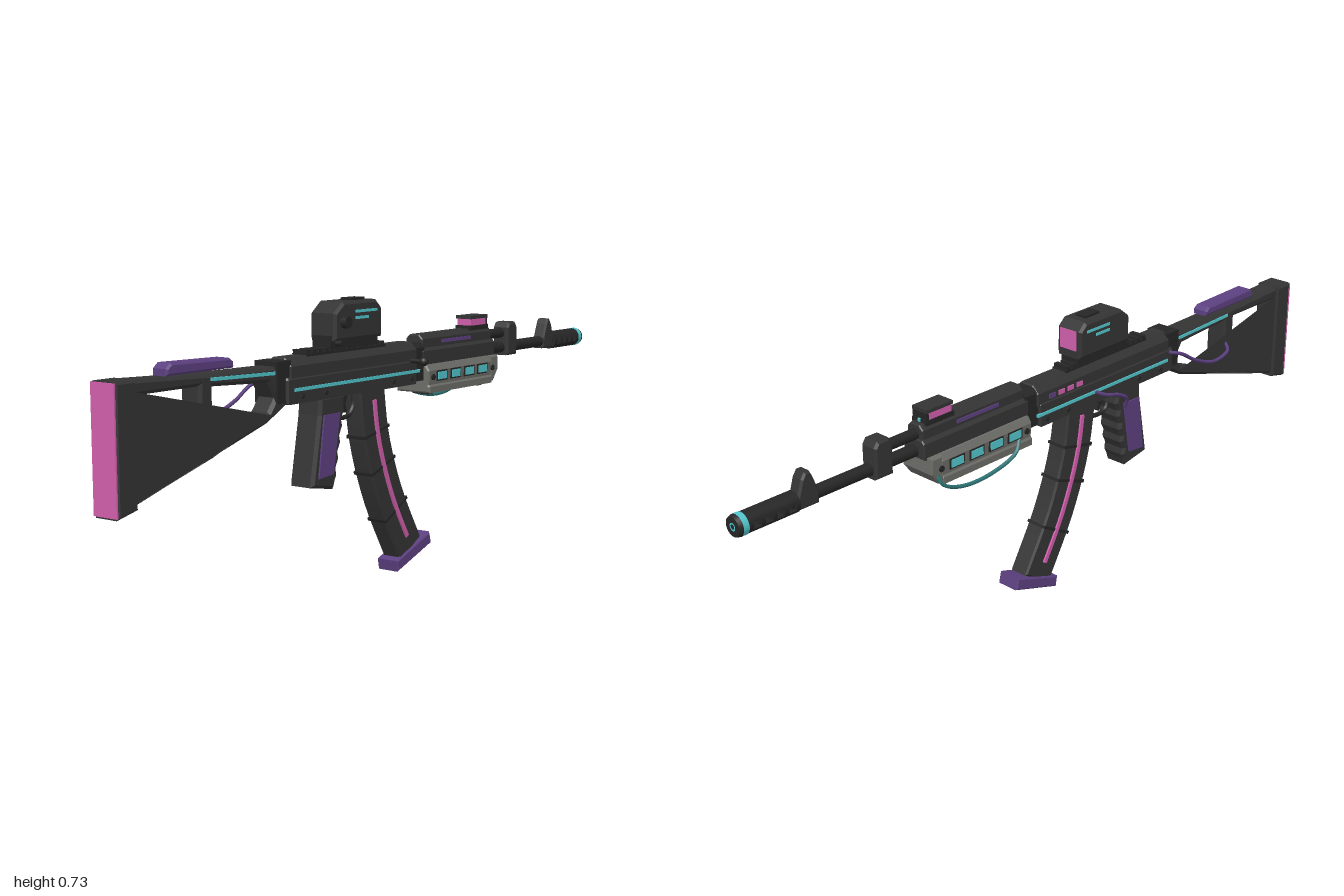
import * as THREE from 'three';

const mat = (name, color) => Object.assign(new THREE.MeshStandardMaterial({ color }), { name });
const body = mat('charcoal body', 0x343434);
const black = mat('black fittings', 0x262626);
const grey = mat('grey shroud', 0x6c6c68);
const purple = mat('purple', 0x5c4080);
const pink = mat('pink', 0xd25fac);
const cyan = mat('cyan', 0x52c6cc);
const teal = mat('teal cable', 0x2f7778);

export function createModel() {
  const root = new THREE.Group();
  root.name = 'rifle';
  const gun = new THREE.Group();
  gun.name = 'rifleParts';
  gun.position.z = -0.015;
  root.add(gun);

  const add = (name, m, geo, x = 0, y = 0, z = 0) => {
    const mesh = new THREE.Mesh(geo, m);
    mesh.name = name;
    mesh.position.set(x, y, z);
    gun.add(mesh);
    return mesh;
  };
  const shapeOf = (pts) => new THREE.Shape(pts.map((p) => new THREE.Vector2(p[0], p[1])));
  const extrude = (shape, depth, b) => new THREE.ExtrudeGeometry(shape, {
    depth: depth - 2 * b, bevelEnabled: b > 0, bevelSize: b, bevelThickness: b, bevelOffset: -b, bevelSegments: 1, curveSegments: 10,
  }).translate(0, 0, b);
  // side outline extruded across the width, centred on z
  const side = (name, m, pts, width, b = 0, z = 0, holes = []) => {
    const s = shapeOf(pts);
    holes.forEach((h) => s.holes.push(new THREE.Path(h.map((p) => new THREE.Vector2(p[0], p[1])))));
    return add(name, m, extrude(s, width, b), 0, 0, z - width / 2);
  };
  // end outline (z, y) extruded along x
  const along = (name, m, pts, x0, x1, b = 0) =>
    add(name, m, extrude(shapeOf(pts), x1 - x0, b).rotateY(Math.PI / 2), x0);
  // symmetric chamfered end outline
  const prism = (hw, y0, y1, c) => [[-hw, y0], [hw, y0], [hw, y1 - c], [hw - c, y1], [c - hw, y1], [-hw, y1 - c]];
  const box = (name, m, x0, x1, y0, y1, w, z = 0) =>
    add(name, m, new THREE.BoxGeometry(x1 - x0, y1 - y0, w), (x0 + x1) / 2, (y0 + y1) / 2, z);
  const rod = (name, m, x0, x1, y, r, r2 = r) =>
    add(name, m, new THREE.CylinderGeometry(r2, r, x1 - x0, 20).rotateZ(-Math.PI / 2), (x0 + x1) / 2, y);
  const pin = (name, m, x, y, z, r, len) =>
    add(name, m, new THREE.CylinderGeometry(r, r, len, 14).rotateX(Math.PI / 2), x, y, z);
  const bothSides = (fn) => [1, -1].forEach(fn);
  const cable = (name, m, pts, r) => add(name, m, new THREE.TubeGeometry(
    new THREE.CatmullRomCurve3(pts.map((p) => new THREE.Vector3(...p))), 32, r, 6));

  // skeleton stock
  side('stockFrame', body,
    [[-0.95, 0.325], [-0.5, 0.458], [-0.43, 0.495], [-0.43, 0.588], [-0.7, 0.592], [-0.95, 0.602]], 0.062, 0.008, 0,
    [[[-0.925, 0.345], [-0.925, 0.567], [-0.735, 0.567], [-0.735, 0.4]],
      [[-0.69, 0.412], [-0.69, 0.563], [-0.5, 0.553], [-0.475, 0.515], [-0.5, 0.483]]]);
  side('buttPad', body, [[-0.997, 0.308], [-0.935, 0.322], [-0.935, 0.602], [-0.997, 0.602]], 0.074, 0.006);
  box('buttPlate', pink, -1, -0.996, 0.312, 0.6, 0.07);
  side('cheekPad', purple, [[-0.83, 0.598], [-0.61, 0.598], [-0.61, 0.612], [-0.625, 0.622], [-0.815, 0.626], [-0.83, 0.614]], 0.046, 0.005);
  bothSides((s) => {
    const strip = box('stockStrip', cyan, -0.7, -0.48, 0.573, 0.581, 0.006, s * 0.031);
    strip.rotation.z = -0.03;
  });
  box('stockHinge', black, -0.475, -0.425, 0.5, 0.6, 0.07);

  // receiver and dust cover
  along('receiver', body, prism(0.042, 0.495, 0.56, 0.006), -0.445, 0.085, 0.004);
  along('dustCover', body, prism(0.039, 0.55, 0.605, 0.02), -0.43, 0.09, 0.003);
  along('frontTrunnion', black, prism(0.034, 0.5, 0.6, 0.012), 0.08, 0.13);
  bothSides((s) => {
    box('receiverStrip', cyan, -0.42, 0.095, 0.525, 0.533, 0.006, s * 0.042);
    [-0.39, -0.3, -0.02, 0.06].forEach((x) => pin('receiverPin', black, x, 0.511, s * 0.042, 0.006, 0.006));
  });
  for (let i = 0; i < 4; i++)
    box('statusLight', i < 3 ? pink : purple, -0.075 + i * 0.034, -0.053 + i * 0.034, 0.562, 0.574, 0.006, -0.039);
  const handle = pin('chargingHandle', black, 0.061, 0.558, 0.05, 0.006, 0.04);
  handle.name = 'chargingHandle';
  add('chargingKnob', black, new THREE.SphereGeometry(0.012, 14, 10), 0.061, 0.558, 0.08);

  // optic rail with teeth
  box('opticRail', black, -0.35, -0.03, 0.595, 0.608, 0.045);
  for (let i = 0; i < 14; i++) box('railTooth', black, -0.348 + i * 0.023, -0.335 + i * 0.023, 0.605, 0.617, 0.045);

  // optic
  box('opticMount', black, -0.265, -0.07, 0.612, 0.645, 0.056);
  side('opticHousing', body,
    [[-0.26, 0.632], [-0.065, 0.632], [-0.065, 0.706], [-0.088, 0.727], [-0.225, 0.727], [-0.26, 0.7]], 0.08, 0.007);
  box('opticLens', pink, -0.067, -0.063, 0.653, 0.706, 0.054);
  box('opticTopButton', black, -0.165, -0.11, 0.722, 0.733, 0.034);
  pin('opticDial', black, -0.225, 0.677, 0.046, 0.015, 0.018);
  pin('mountScrew', black, -0.24, 0.626, 0.036, 0.007, 0.02);
  bothSides((s) => {
    box('opticMark', cyan, -0.178, -0.09, 0.698, 0.705, 0.006, s * 0.039);
    box('opticMark', cyan, -0.178, -0.125, 0.682, 0.689, 0.006, s * 0.039);
  });

  // pistol grip with finger ridges
  const grip = [[-0.35, 0.28], [-0.262, 0.265]];
  for (let i = 0; i < 5; i++) {
    const x = -0.255 + i * 0.008, y = 0.285 + i * 0.04;
    grip.push([x, y], [x + 0.008, y + 0.015], [x + 0.004, y + 0.032]);
  }
  grip.push([-0.215, 0.5], [-0.315, 0.5], [-0.318, 0.455]);
  side('pistolGrip', body, grip, 0.074, 0.008);
  bothSides((s) => side('gripPanel', purple,
    [[-0.327, 0.3], [-0.27, 0.305], [-0.243, 0.455], [-0.305, 0.455]], 0.008, 0, s * 0.037));

  // trigger and guard
  side('trigger', black, [[-0.185, 0.5], [-0.19, 0.465], [-0.178, 0.445], [-0.172, 0.45], [-0.178, 0.467], [-0.165, 0.5]], 0.014);
  cable('triggerGuard', black, [[-0.225, 0.465, 0], [-0.21, 0.438, 0], [-0.16, 0.435, 0], [-0.14, 0.455, 0], [-0.138, 0.5, 0]], 0.006);

  // curved magazine
  const path = new THREE.CatmullRomCurve3([[-0.094, 0.52], [-0.07, 0.37], [-0.013, 0.215], [0.08, 0.05]]
    .map((p) => new THREE.Vector3(p[0], p[1], 0)));
  const band = (w, t0, t1, n) => {
    const left = [], right = [];
    for (let i = 0; i <= n; i++) {
      const t = t0 + (t1 - t0) * i / n, p = path.getPointAt(t), d = path.getTangentAt(t);
      left.push([p.x - d.y * w / 2, p.y + d.x * w / 2]);
      right.unshift([p.x + d.y * w / 2, p.y - d.x * w / 2]);
    }
    return left.concat(right);
  };
  side('magazine', body, band(0.106, 0, 1, 14), 0.056, 0.005);
  [0.26, 0.45, 0.72].forEach((t) => side('magazineRib', black, band(0.108, t, t + 0.016, 1), 0.06));
  bothSides((s) => side('magazineStrip', pink, band(0.012, 0.1, 0.91, 14), 0.008, 0, s * 0.029));
  side('magazineBase', purple, [[0.008, 0.03], [0.014, 0], [0.168, 0.052], [0.16, 0.084], [0.135, 0.076]], 0.067, 0.004);

  // lower handguard shroud
  along('handguard', grey, [[-0.054, 0.466], [0.054, 0.466], [0.054, 0.483], [0.05, 0.488], [0.052, 0.525], [0.042, 0.541],
    [-0.042, 0.541], [-0.052, 0.525], [-0.05, 0.488], [-0.054, 0.483]], 0.125, 0.435, 0.004);
  side('handguardNose', grey, [[0.43, 0.468], [0.445, 0.47], [0.468, 0.5], [0.468, 0.541], [0.43, 0.541]], 0.104, 0.004);
  bothSides((s) => {
    for (let i = 0; i < 4; i++) {
      const x = 0.187 + i * 0.066;
      box('ventFrame', black, x - 0.025, x + 0.025, 0.496, 0.524, 0.006, s * 0.05);
      box('ventLight', cyan, x - 0.02, x + 0.02, 0.5, 0.52, 0.008, s * 0.051);
    }
    [0.145, 0.437].forEach((x) => pin('handguardBolt', black, x, 0.508, s * 0.051, 0.008, 0.008));
  });
  [0.16, 0.4].forEach((x) => box('handguardFoot', black, x, x + 0.025, 0.458, 0.468, 0.05));

  // upper handguard and accessory
  along('upperHandguard', body, prism(0.036, 0.535, 0.585, 0.008), 0.12, 0.475, 0.003);
  along('gasTubeCover', body, prism(0.027, 0.58, 0.62, 0.012), 0.13, 0.47, 0.003);
  bothSides((s) => box('coverStrip', purple, 0.22, 0.36, 0.593, 0.602, 0.006, s * 0.027));
  box('accessoryBase', black, 0.365, 0.455, 0.615, 0.628, 0.05);
  box('accessoryBody', pink, 0.372, 0.448, 0.628, 0.648, 0.046);
  box('accessoryCap', body, 0.368, 0.453, 0.646, 0.655, 0.05);
  box('accessoryFront', black, 0.446, 0.453, 0.628, 0.648, 0.048);
  box('accessoryLight', cyan, 0.453, 0.457, 0.621, 0.629, 0.008);

  // barrel, gas block and front sight
  const axis = 0.553;
  rod('barrel', black, 0.1, 0.85, axis, 0.016);
  rod('gasTube', black, 0.46, 0.57, 0.594, 0.014);
  side('gasBlock', body, [[0.56, 0.53], [0.615, 0.53], [0.615, 0.61], [0.605, 0.625], [0.57, 0.625], [0.56, 0.61]], 0.05, 0.006);
  side('frontSight', body, [[0.775, 0.533], [0.835, 0.533], [0.835, 0.565], [0.822, 0.605], [0.812, 0.62], [0.798, 0.62], [0.79, 0.605], [0.775, 0.565]], 0.036, 0.005);

  // slotted muzzle brake: webs joined by a top and a bottom rail
  const R = 0.026, a = 0.45;
  [0.835, 0.867, 0.899, 0.931].forEach((x) => rod('brakeWeb', black, x, x + 0.01, axis, R));
  rod('brakeEnd', black, 0.962, 0.975, axis, R);
  bothSides((s) => {
    const arc = [];
    for (let i = 0; i <= 10; i++) {
      const t = a + (Math.PI - 2 * a) * i / 10;
      arc.push([R * Math.cos(t), axis + s * R * Math.sin(t)]);
    }
    along('brakeRail', black, arc, 0.835, 0.97);
  });
  rod('muzzleRing', cyan, 0.975, 0.99, axis, 0.027);
  rod('muzzleTip', black, 0.99, 1, axis, 0.027, 0.024);
  add('muzzleBoreRing', cyan, new THREE.RingGeometry(0.006, 0.01, 16).rotateY(Math.PI / 2), 1.0005, axis);

  // cables on the far side
  cable('stockCable', purple, [[-0.7, 0.495, -0.03], [-0.68, 0.485, -0.053], [-0.61, 0.475, -0.06], [-0.52, 0.505, -0.06], [-0.46, 0.54, -0.058], [-0.425, 0.55, -0.04]], 0.005);
  cable('gripCable', purple, [[-0.12, 0.53, -0.04], [-0.15, 0.515, -0.055], [-0.2, 0.5, -0.057], [-0.24, 0.475, -0.052], [-0.25, 0.44, -0.036]], 0.005);
  cable('handguardCable', teal, [[0.17, 0.495, -0.05], [0.19, 0.467, -0.058], [0.28, 0.44, -0.058], [0.38, 0.443, -0.058], [0.44, 0.47, -0.058], [0.45, 0.495, -0.048]], 0.005);
  return root;
}
